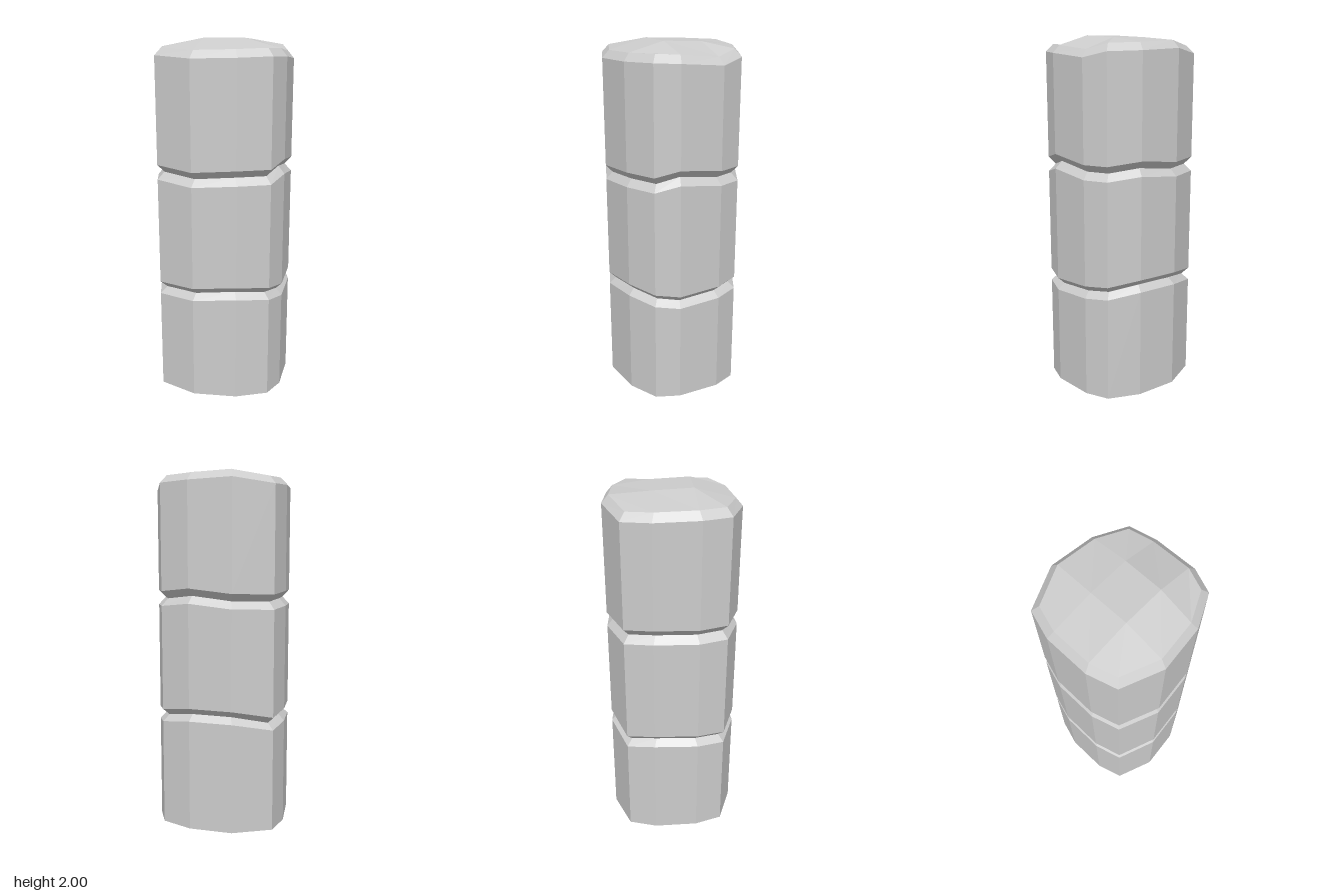
import * as THREE from 'three';

// Twelve-sided plan outline, starting front-left and running past the front, +x side, back, -x side
const PLAN = [
  [-0.308, 0.27], [-0.096, 0.352], [0.14, 0.328], [0.305, 0.246],
  [0.354, 0.119], [0.354, -0.119], [0.305, -0.248], [0.14, -0.33],
  [-0.096, -0.354], [-0.308, -0.27], [-0.354, -0.119], [-0.354, 0.119],
];
// Inner corners of each cap: front pair, then back pair
const CAP_INNER = [[-0.088, 0.107], [0.132, 0.107], [-0.088, -0.107], [0.132, -0.107]];
const CAP_GRID = [[0, 1, 2, 3], [11, 12, 13, 4], [10, 14, 15, 5], [9, 8, 7, 6]];

// Uneven heights of the two joints and the upper rim, one per outline corner
const LOWER_JOINT = [0.645, 0.652, 0.67, 0.655, 0.638, 0.652, 0.665, 0.69, 0.687, 0.645, 0.665, 0.655];
const UPPER_JOINT = [1.305, 1.29, 1.305, 1.305, 1.34, 1.31, 1.31, 1.33, 1.305, 1.3, 1.31, 1.305];
const TOP_RIM = [1.915, 1.905, 1.91, 1.915, 1.91, 1.89, 1.92, 1.925, 1.935, 1.905, 1.91, 1.915];
const BASE_RIM = PLAN.map(() => 0.05);
const INSET = 0.9;

const ring = (heights, scale = 1, lift = 0) =>
  PLAN.map(([x, z], i) => new THREE.Vector3(x * scale, heights[i] + lift, z * scale));

const average = (heights) => heights.reduce((a, b) => a + b, 0) / heights.length;

// Closed faceted block: rings from bottom to top, with a gridded cap at each end
function makeStone(name, rings, bottomY, topY, material) {
  const positions = [];
  const quad = (a, b, c, d) => {
    for (const p of [a, b, c, a, c, d]) positions.push(p.x, p.y, p.z);
  };

  // side walls and chamfers
  for (let r = 0; r < rings.length - 1; r++) {
    for (let i = 0; i < 12; i++) {
      const j = (i + 1) % 12;
      quad(rings[r][i], rings[r][j], rings[r + 1][j], rings[r + 1][i]);
    }
  }

  // end caps
  const cap = (rim, heights, up) => {
    const points = [...rim, ...CAP_INNER.map(([x, z], i) => new THREE.Vector3(x, heights[i], z))];
    for (let r = 0; r < 3; r++) {
      for (let c = 0; c < 3; c++) {
        const corners = [
          CAP_GRID[r][c], CAP_GRID[r][c + 1], CAP_GRID[r + 1][c + 1], CAP_GRID[r + 1][c],
        ].map((k) => points[k]);
        quad(...(up ? corners : corners.reverse()));
      }
    }
  };
  cap(rings[0], bottomY, false);
  cap(rings[rings.length - 1], topY, true);

  const geometry = new THREE.BufferGeometry();
  geometry.setAttribute('position', new THREE.Float32BufferAttribute(positions, 3));
  geometry.computeVertexNormals();
  const mesh = new THREE.Mesh(geometry, material);
  mesh.name = name;
  return mesh;
}

export function createModel() {
  const group = new THREE.Group();
  group.name = 'stonePillar';
  const material = new THREE.MeshStandardMaterial({ color: 0xcccccc, flatShading: true });
  const lowerY = Array(4).fill(average(LOWER_JOINT));
  const upperY = Array(4).fill(average(UPPER_JOINT));

  // bottom block with a shallow bulged underside
  group.add(makeStone('lowerStone', [
    ring(BASE_RIM), ring(LOWER_JOINT, 1, -0.035), ring(LOWER_JOINT, INSET),
  ], [0, 0, 0, 0], lowerY, material));

  // middle block, chamfered at both joints
  group.add(makeStone('middleStone', [
    ring(LOWER_JOINT, INSET), ring(LOWER_JOINT, 1, 0.035),
    ring(UPPER_JOINT, 1, -0.04), ring(UPPER_JOINT, INSET),
  ], lowerY, upperY, material));

  // top block with a low domed cap
  group.add(makeStone('upperStone', [
    ring(UPPER_JOINT, INSET), ring(UPPER_JOINT, 1, 0.04),
    ring(TOP_RIM), ring(TOP_RIM, INSET, 0.04),
  ], upperY, [2, 2, 1.99, 1.99], material));

  return group;
}
